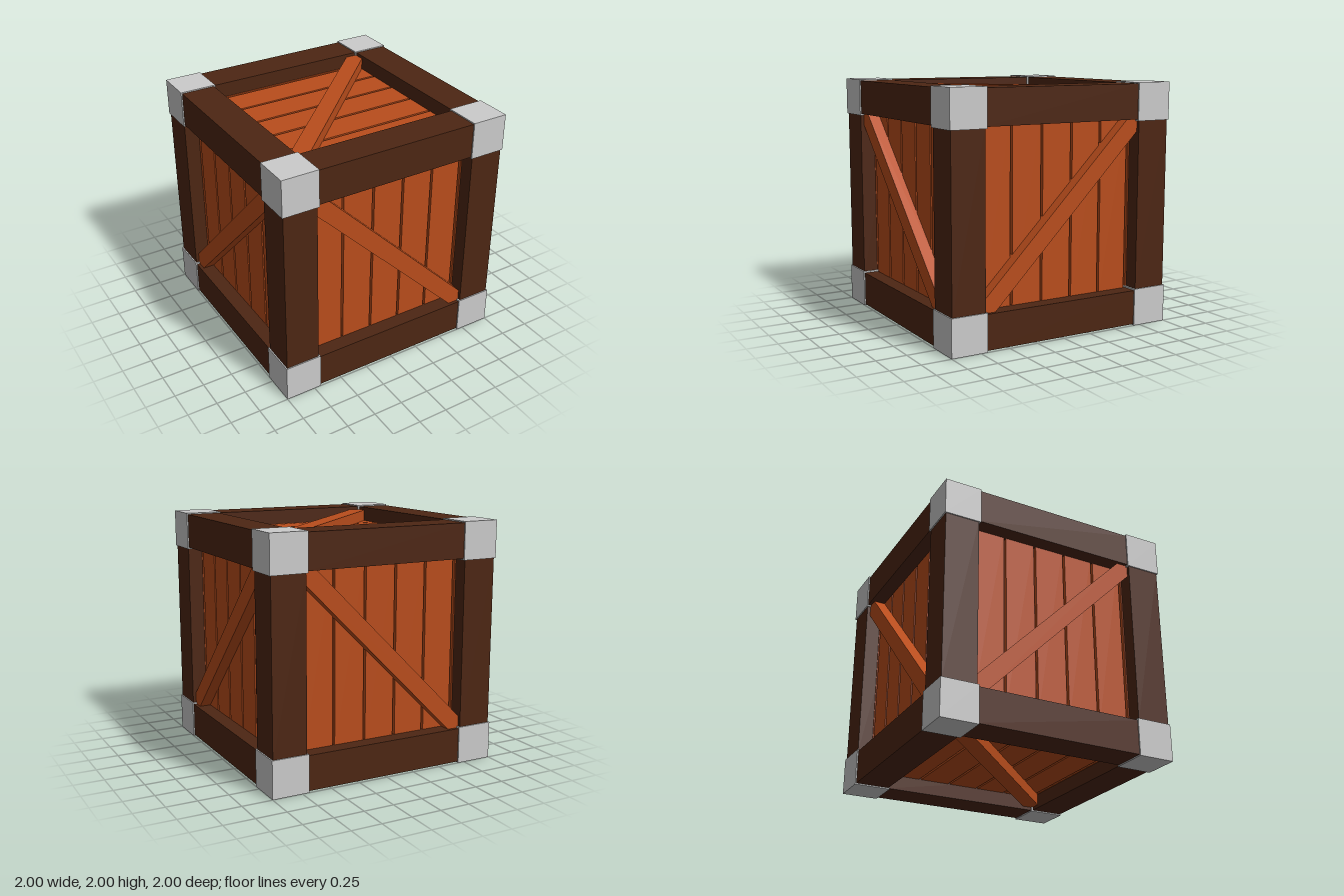
import * as THREE from 'three';

const metal = new THREE.MeshStandardMaterial({ color: 0xcccccc });
const darkWood = new THREE.MeshStandardMaterial({ color: 0x4d2613 });
const wood = new THREE.MeshStandardMaterial({ color: 0xb94d1c });

function box(name, size, pos, material) {
  const mesh = new THREE.Mesh(new THREE.BoxGeometry(...size), material);
  mesh.name = name;
  mesh.position.set(...pos);
  return mesh;
}

// One crate side facing +z: upright planks with a raised diagonal brace
function createPanel(name, braceSign) {
  const panel = new THREE.Group();
  panel.name = name;
  const pitch = 0.274, gap = 0.02;
  for (let i = -2; i <= 2; i++) {
    panel.add(box('plank', [pitch - gap, 1.5, 0.05], [i * pitch, 0, 0.842], wood));
  }
  // Narrow outer planks, mostly tucked under the frame
  for (const s of [-1, 1]) {
    panel.add(box('edgePlank', [0.06, 1.5, 0.05], [s * 0.725, 0, 0.842], wood));
  }
  const brace = box('brace', [1.98, 0.1414, 0.12], [0, 0, 0.903], wood);
  brace.rotation.z = braceSign * Math.PI / 4;
  panel.add(brace);
  return panel;
}

export function createModel() {
  const model = new THREE.Group();
  model.name = 'crate';
  const crate = new THREE.Group();
  crate.name = 'crateBody';
  crate.position.y = 1;
  model.add(crate);

  // Inner core forms the floor of the plank grooves
  crate.add(box('core', [1.67, 1.67, 1.67], [0, 0, 0], wood));

  // Four walls
  ['frontPanel', 'leftPanel', 'backPanel', 'rightPanel'].forEach((name, i) => {
    const panel = createPanel(name, i % 2 ? 1 : -1);
    panel.rotation.y = i * Math.PI / 2;
    crate.add(panel);
  });

  // Lid and base, with planks running along x
  for (const s of [-1, 1]) {
    const panel = createPanel(s > 0 ? 'lidPanel' : 'basePanel', -1);
    panel.rotation.set(-s * Math.PI / 2, 0, Math.PI / 2);
    crate.add(panel);
  }

  // Twelve frame beams
  const beam = 0.285, beamAt = 0.99 - beam / 2;
  for (let axis = 0; axis < 3; axis++) {
    for (const a of [-1, 1]) for (const b of [-1, 1]) {
      const size = [beam, beam, beam];
      const pos = [0, 0, 0];
      size[axis] = 1.42;
      pos[(axis + 1) % 3] = a * beamAt;
      pos[(axis + 2) % 3] = b * beamAt;
      crate.add(box('frameBeam', size, pos, darkWood));
    }
  }

  // Eight metal corner blocks
  const corner = 0.308, cornerAt = 1 - corner / 2;
  for (const x of [-1, 1]) for (const y of [-1, 1]) for (const z of [-1, 1]) {
    crate.add(box('cornerBlock', [corner, corner, corner],
      [x * cornerAt, y * cornerAt, z * cornerAt], metal));
  }
  return model;
}
